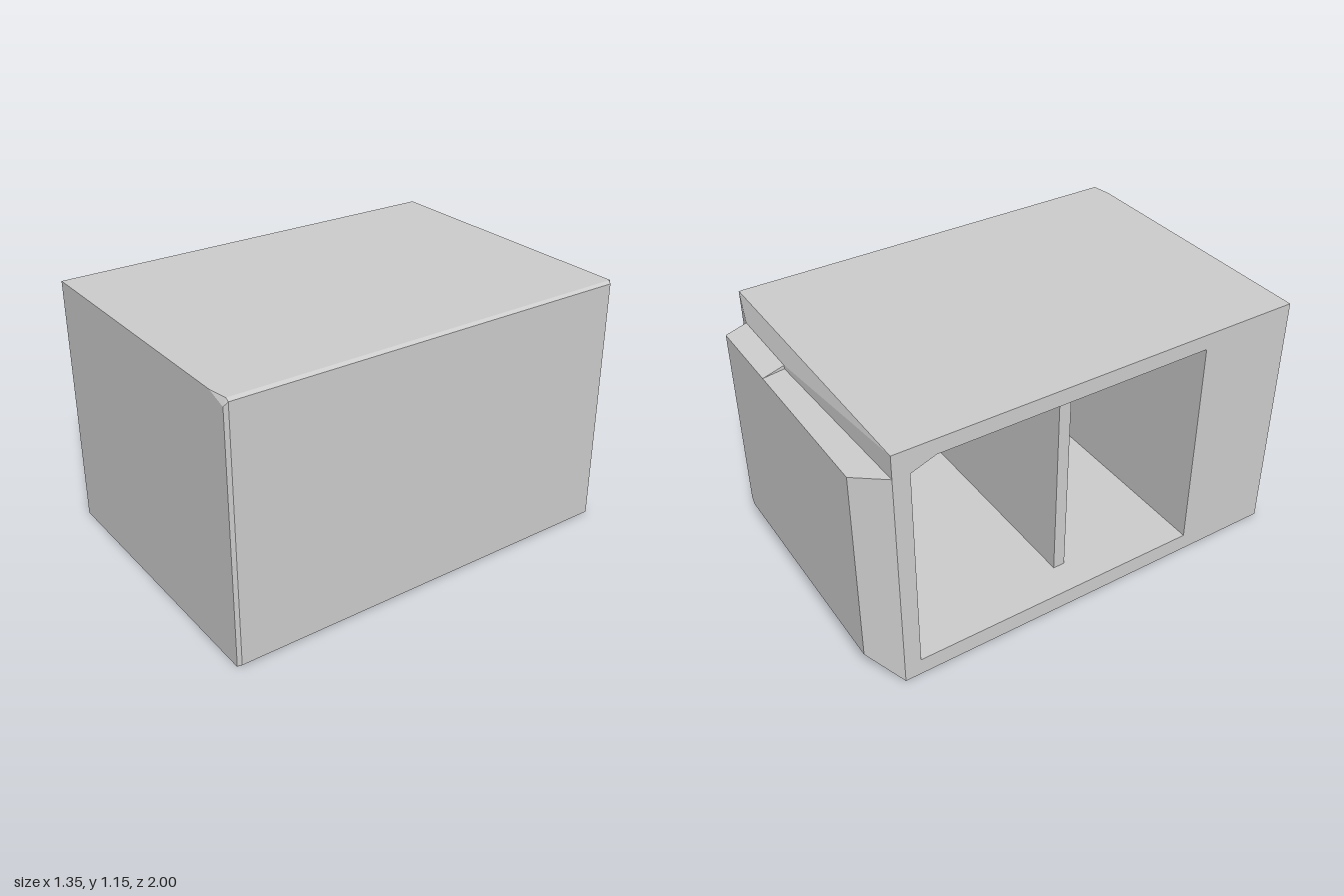
import * as THREE from 'three';

// Flat-sided solid through rings of [x, y] points, listed from front to back
function loft(rings) {
  const pos = [];
  const tri = (...pts) => pts.forEach((p) => pos.push(...p));
  const r = rings.map(({ z, pts }) => pts.map(([x, y]) => [x, y, z]));
  const n = r[0].length;
  for (let k = 0; k < r.length - 1; k++) {
    const a = r[k], b = r[k + 1];
    for (let i = 0; i < n; i++) {
      const j = (i + 1) % n;
      tri(a[i], b[i], b[j]);
      tri(a[i], b[j], a[j]);
    }
  }
  const front = r[0], back = r[r.length - 1];
  for (let i = 1; i < n - 1; i++) {
    tri(front[0], front[i], front[i + 1]);
    tri(back[0], back[i + 1], back[i]);
  }
  const g = new THREE.BufferGeometry();
  g.setAttribute('position', new THREE.Float32BufferAttribute(pos, 3));
  g.computeVertexNormals();
  return g;
}

const rect = (x0, y0, x1, y1) => [[x0, y0], [x1, y0], [x1, y1], [x0, y1]];

export function createModel() {
  const group = new THREE.Group();
  const grey = new THREE.MeshStandardMaterial({ color: 0xcccccc });
  grey.name = 'plainGrey';
  const add = (name, geometry) => {
    const mesh = new THREE.Mesh(geometry, grey);
    mesh.name = name;
    group.add(mesh);
    return mesh;
  };

  const W = 0.675, H = 1.15;
  const floorY = 0.08, ceilY = 1.08, wallX = 0.6;
  const bayBack = -0.806, bayFront = 0.556;

  // Outer profile, bevelled along the +x edges
  const profile = [[-W, 0], [0.66, 0], [W, 0.01], [W, H - 0.01], [0.66, H], [-W, H]];

  // Closed front section with a clipped upper corner
  add('frontSection', loft([
    { z: 1, pts: [[-W, 0], [0.66, 0], [0.663, 0.01], [0.663, 1.12], [0.57, H], [-W, H]] },
    { z: 0.985, pts: profile },
    { z: bayFront, pts: profile },
  ]));

  // Floor, roof and far wall around the open bay
  const shell = new THREE.Shape([
    ...profile,
    [-W, ceilY], [wallX, ceilY], [wallX, floorY], [-W, floorY],
  ].map(([x, y]) => new THREE.Vector2(x, y)));
  add('bayShell', new THREE.ExtrudeGeometry(shell, { depth: bayFront - bayBack, bevelEnabled: false }))
    .position.z = bayBack;

  // Back wall of the bay
  add('backWall', loft([
    { z: bayBack, pts: profile },
    { z: -0.868, pts: profile },
    { z: -0.88, pts: [[-W, 0], [0.655, 0], [0.66, 0.01], [0.66, H - 0.01], [0.655, H], [-W, H]] },
  ]));

  // Angled corner of the opening
  add('openingCorner', loft([
    { z: -0.7, pts: rect(-W, ceilY - 0.001, -0.6, ceilY + 0.005) },
    { z: bayBack, pts: rect(-W, 1.04, -0.6, ceilY + 0.005) },
  ]));

  // Upright panel splitting the bay
  const divider = add('divider', new THREE.BoxGeometry(wallX + 0.53, ceilY - floorY, 0.055));
  divider.position.set((wallX - 0.53) / 2, (ceilY + floorY) / 2, -0.03);

  // Shallow taper leading into the rear block
  add('rearTaper', loft([
    { z: -0.88, pts: rect(-W, 0, 0.66, H) },
    { z: -0.905, pts: rect(0.17, 0.11, 0.55, 1.06) },
  ]));

  // Rear block: straight-sided part and flared part
  add('rearBlockStraight', loft([
    { z: -0.9, pts: [[0.17, 0.11], [0.545, 0.11], [0.55, 0.115], [0.55, 1.06], [0.17, 1.06]] },
    { z: -1, pts: [[0.17, 0.12], [0.53, 0.12], [0.55, 0.145], [0.55, 1.03], [0.17, 1.03]] },
  ]));
  add('rearBlockFlared', loft([
    { z: -0.88, pts: rect(-W, 0, 0.17, 1.045) },
    { z: -1, pts: rect(-0.56, 0.12, 0.17, 1.03) },
  ]));

  return group;
}
